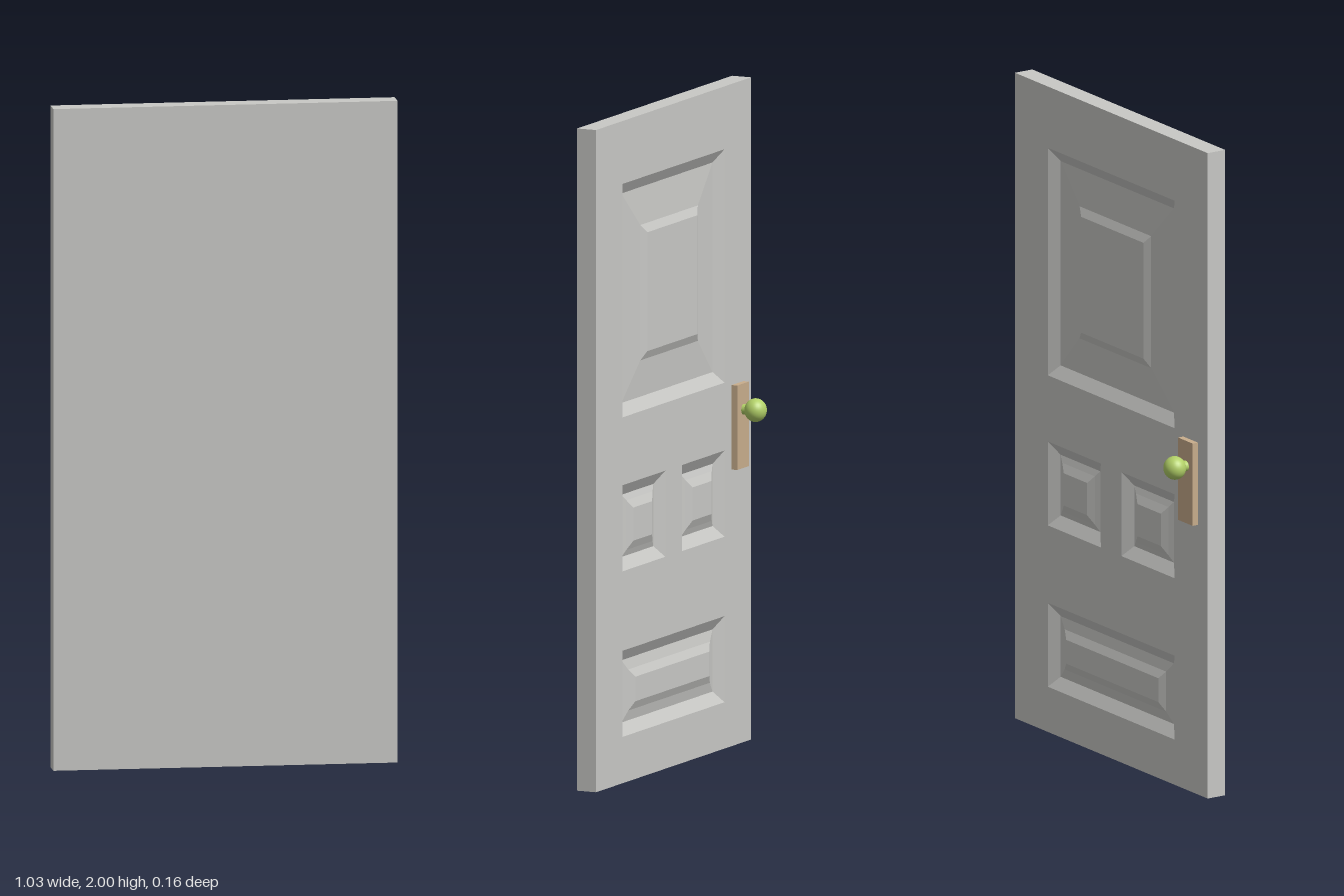
import * as THREE from 'three';

const W = 0.517, H = 2, BACK = 0.012, CORE = 0.037, FRONT = 0.075;

// Openings on the back face: [x0, x1, y0, y1, inset of the raised field]
const PANELS = [
  [-0.34, 0.34, 1.105, 1.81, 0.148],
  [0.055, 0.34, 0.64, 0.90, 0.055],
  [-0.34, -0.055, 0.64, 0.90, 0.055],
  [-0.34, 0.34, 0.14, 0.40, 0.068],
];

function rectPath(path, x0, x1, y0, y1) {
  path.moveTo(x0, y0);
  path.lineTo(x1, y0);
  path.lineTo(x1, y1);
  path.lineTo(x0, y1);
  path.closePath();
  return path;
}

// Nested rectangles joined by mitred slopes, facing -z
function raisedPanel([x0, x1, y0, y1, inset]) {
  const steps = [[0, 0], [0.036, 0.022], [inset, 0.015], [inset + 0.025, 0.004]];
  const rings = steps.map(([i, d]) => [
    [x0 + i, y0 + i, BACK + d], [x1 - i, y0 + i, BACK + d],
    [x1 - i, y1 - i, BACK + d], [x0 + i, y1 - i, BACK + d],
  ]);
  const pos = [];
  const quad = (a, b, c, d) => pos.push(...a, ...c, ...b, ...a, ...d, ...c);
  for (let r = 0; r < rings.length - 1; r++) {
    for (let k = 0; k < 4; k++) {
      const n = (k + 1) % 4;
      quad(rings[r][k], rings[r][n], rings[r + 1][n], rings[r + 1][k]);
    }
  }
  quad(...rings[rings.length - 1]);
  const geo = new THREE.BufferGeometry();
  geo.setAttribute('position', new THREE.Float32BufferAttribute(pos, 3));
  geo.computeVertexNormals();
  return geo;
}

export function createModel() {
  const door = new THREE.Group();
  door.name = 'door';
  const material = (name, color) => {
    const m = new THREE.MeshStandardMaterial({ color });
    m.name = name;
    return m;
  };
  const grey = material('door grey', 0xc8c8c5);
  const tan = material('plate tan', 0xc8ad8c);
  const green = material('knob green', 0xb2d068);
  const add = (name, geo, mat, x = 0, y = 0, z = 0) => {
    const mesh = new THREE.Mesh(geo, mat);
    mesh.name = name;
    mesh.position.set(x, y, z);
    door.add(mesh);
    return mesh;
  };

  // Solid front slab
  add('slab', new THREE.BoxGeometry(2 * W, H, FRONT - CORE), grey, 0, H / 2, (FRONT + CORE) / 2);

  // Back frame with openings for the panels
  const outline = rectPath(new THREE.Shape(), -W, W, 0, H);
  for (const [x0, x1, y0, y1] of PANELS) {
    outline.holes.push(rectPath(new THREE.Path(), x0, x1, y0, y1));
  }
  add('backFrame', new THREE.ExtrudeGeometry(outline, { depth: CORE - BACK, bevelEnabled: false }),
    grey, 0, 0, BACK);

  // Raised panels
  const names = ['topPanel', 'leftPanel', 'rightPanel', 'bottomPanel'];
  PANELS.forEach((p, i) => add(names[i], raisedPanel(p), grey));

  // Handle: plate, neck and round knob
  add('handlePlate', new THREE.BoxGeometry(0.078, 0.255, 0.019), tan, -0.426, 0.963, 0.0025);
  const neck = new THREE.CylinderGeometry(0.016, 0.016, 0.02, 24).rotateX(Math.PI / 2);
  add('knobNeck', neck, green, -0.429, 1.013, -0.016);
  const knob = add('knob', new THREE.SphereGeometry(0.0355, 32, 20), green, -0.429, 1.013, -0.047);
  knob.scale.z = 0.94;

  return door;
}
